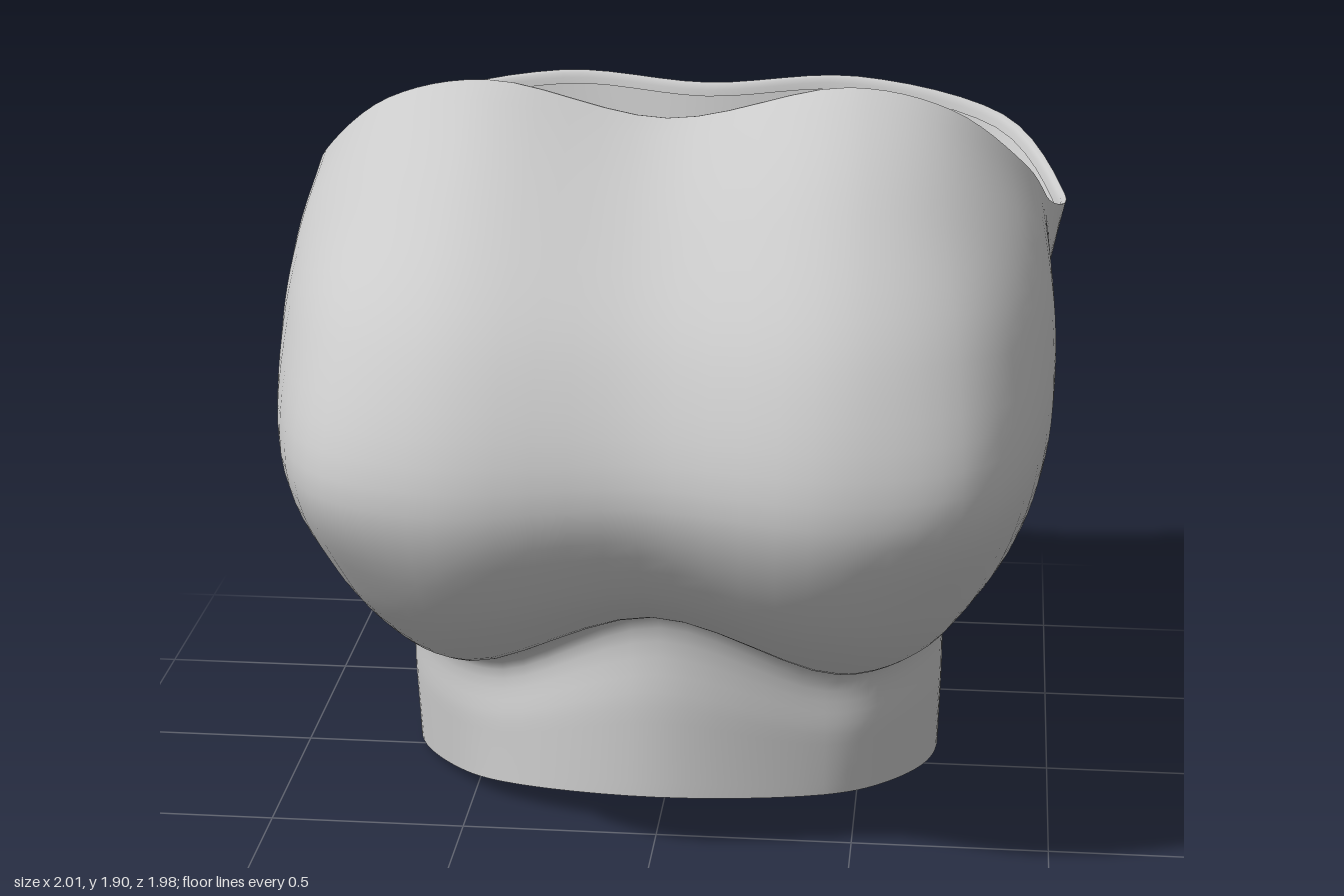
import * as THREE from 'three';

const V = (p) => new THREE.Vector3(...p);
const AROUND = 96;

// Closed horizontal ring from half a cross-section (front centre, left side, back centre), mirrored in x
function ring(...half) {
  const mirrored = half.slice(1, -1).reverse().map(([x, y, z]) => [-x, y, z]);
  const curve = new THREE.CatmullRomCurve3([...half, ...mirrored].map(V), true, 'centripetal');
  return Array.from({ length: AROUND }, (_, i) => curve.getPoint(i / AROUND));
}

// Smooth skin through a stack of rings, bottom to top
function skin(rings, steps) {
  const pos = [], index = [];
  for (let i = 0; i < AROUND; i++) {
    const column = new THREE.CatmullRomCurve3(rings.map((r) => r[i]), false, 'centripetal');
    for (let j = 0; j <= steps; j++) pos.push(...column.getPoint(j / steps).toArray());
  }
  const n = steps + 1;
  for (let i = 0; i < AROUND; i++) {
    for (let j = 0; j < steps; j++) {
      const a = i * n + j, b = ((i + 1) % AROUND) * n + j;
      index.push(a, b, b + 1, a, b + 1, a + 1);
    }
  }
  const geo = new THREE.BufferGeometry();
  geo.setAttribute('position', new THREE.Float32BufferAttribute(pos, 3));
  geo.setIndex(index);
  geo.computeVertexNormals();
  return geo;
}

// Ring moved towards the middle of the body and up or down, for the folded edges
const inset = (r, amount, dy) => r.map((p) => {
  const q = new THREE.Vector3(p.x, 0, p.z + 0.1).setLength(amount);
  return new THREE.Vector3(p.x - q.x, p.y + dy, p.z - q.z);
});

export function createModel() {
  const group = new THREE.Group();
  group.name = 'straplessTop';
  const fabric = new THREE.MeshStandardMaterial({ color: 0xcccccc, side: THREE.DoubleSide });
  fabric.name = 'light grey fabric';

  const hem = ring([0, 0.09, 0.47], [0.42, 0.055, 0.34], [0.57, 0.03, 0.2], [0.68, 0.02, 0.03],
    [0.705, 0.015, -0.15], [0.66, 0.01, -0.36], [0.53, 0.005, -0.54], [0.3, 0, -0.65], [0, 0, -0.64]);
  const crease = ring([0, 0.57, 0.43], [0.42, 0.38, 0.31], [0.58, 0.38, 0.22], [0.7, 0.42, 0.05],
    [0.715, 0.42, -0.15], [0.68, 0.42, -0.38], [0.56, 0.42, -0.58], [0.3, 0.42, -0.69], [0, 0.42, -0.68]);
  const waist = hem.map((p, i) => p.clone().lerp(crease[i], 0.5));
  const underBust = ring([0, 0.65, 0.62], [0.47, 0.5, 0.58], [0.68, 0.52, 0.43], [0.78, 0.58, 0.16],
    [0.75, 0.6, -0.13], [0.73, 0.62, -0.4], [0.59, 0.62, -0.62], [0.3, 0.62, -0.735], [0, 0.62, -0.725]);
  const lowerBust = ring([0, 0.8, 0.83], [0.47, 0.74, 0.87], [0.74, 0.74, 0.68], [0.9, 0.78, 0.25],
    [0.82, 0.8, -0.12], [0.79, 0.8, -0.42], [0.63, 0.8, -0.66], [0.32, 0.8, -0.785], [0, 0.8, -0.77]);
  const apex = ring([0, 1.05, 0.94], [0.48, 1.03, 0.985], [0.8, 1.03, 0.84], [0.965, 1.05, 0.34],
    [0.91, 1.05, -0.1], [0.87, 1.05, -0.44], [0.69, 1.05, -0.71], [0.34, 1.05, -0.845], [0, 1.05, -0.83]);
  const upperBust = ring([0, 1.36, 0.8], [0.48, 1.37, 0.84], [0.78, 1.36, 0.68], [0.968, 1.3, 0.27],
    [0.945, 1.27, -0.08], [0.93, 1.25, -0.46], [0.75, 1.28, -0.79], [0.37, 1.3, -0.91], [0, 1.3, -0.885]);
  const chest = ring([0, 1.6, 0.53], [0.46, 1.66, 0.53], [0.73, 1.62, 0.42], [0.935, 1.5, 0.19],
    [0.955, 1.4, -0.09], [0.965, 1.36, -0.47], [0.79, 1.43, -0.84], [0.39, 1.49, -0.95], [0, 1.48, -0.925]);
  const neckline = ring([0, 1.81, 0.2], [0.45, 1.9, 0.21], [0.7, 1.84, 0.17], [0.89, 1.67, 0.04],
    [0.955, 1.53, -0.15], [1, 1.46, -0.48], [0.83, 1.58, -0.87], [0.42, 1.65, -0.99], [0, 1.63, -0.96]);

  const add = (name, rings, steps) => {
    const mesh = new THREE.Mesh(skin(rings, steps), fabric);
    mesh.name = name;
    group.add(mesh);
  };
  add('bodice', [hem, waist, crease, underBust, lowerBust, apex, upperBust, chest, neckline], 48);

  // Narrow edges folded to the inside
  add('necklineFold', [neckline, inset(neckline, 0.015, -0.005), inset(neckline, 0.025, -0.035)], 4);
  add('hemFold', [inset(hem, 0.02, 0.035), inset(hem, 0.012, 0.006), hem], 4);
  return group;
}
